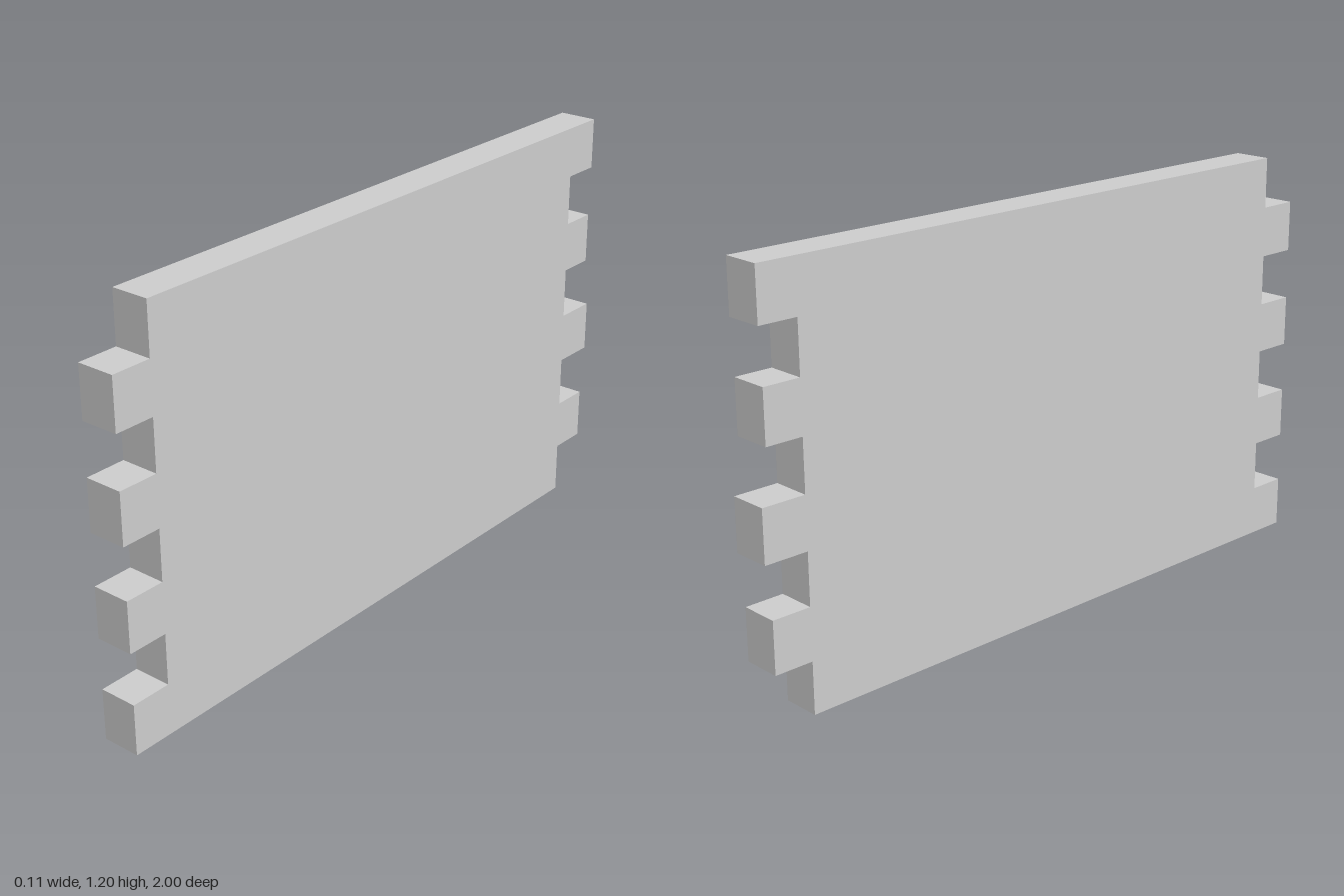
import * as THREE from 'three';

const HEIGHT = 1.2, THICKNESS = 0.113;
const STEP = 0.15;           // height of one tab or one notch
const FRONT = 0.88, BACK = -0.87; // panel edges behind the tabs

export function createModel() {
  const group = new THREE.Group();
  group.name = 'interlockingPanel';

  // Side outline, drawn as (z, y)
  const outline = [];

  // Front edge going up: tabs on the even steps, notches on the odd ones
  for (let i = 0; i < 8; i++) {
    const z = i % 2 === 0 ? 1 : FRONT;
    outline.push([z, i * STEP], [z, (i + 1) * STEP]);
  }

  // Back edge going down: tabs on the odd steps, with slightly uneven lengths
  const backTips = [-0.985, -1, -0.98, -0.985];
  for (let i = 7; i >= 0; i--) {
    const z = i % 2 === 1 ? backTips[(i - 1) / 2] : BACK;
    outline.push([z, (i + 1) * STEP], [z, i * STEP]);
  }

  const shape = new THREE.Shape(outline.map(([z, y]) => new THREE.Vector2(z, Math.min(y, HEIGHT))));
  const geometry = new THREE.ExtrudeGeometry(shape, { depth: THICKNESS, bevelEnabled: false });
  geometry.translate(0, 0, -THICKNESS / 2);
  geometry.rotateY(-Math.PI / 2);

  // Panel with finger-joint tabs on both ends
  const panel = new THREE.Mesh(geometry, new THREE.MeshStandardMaterial({ color: 0xcccccc }));
  panel.name = 'tabbedPanel';
  group.add(panel);
  return group;
}
